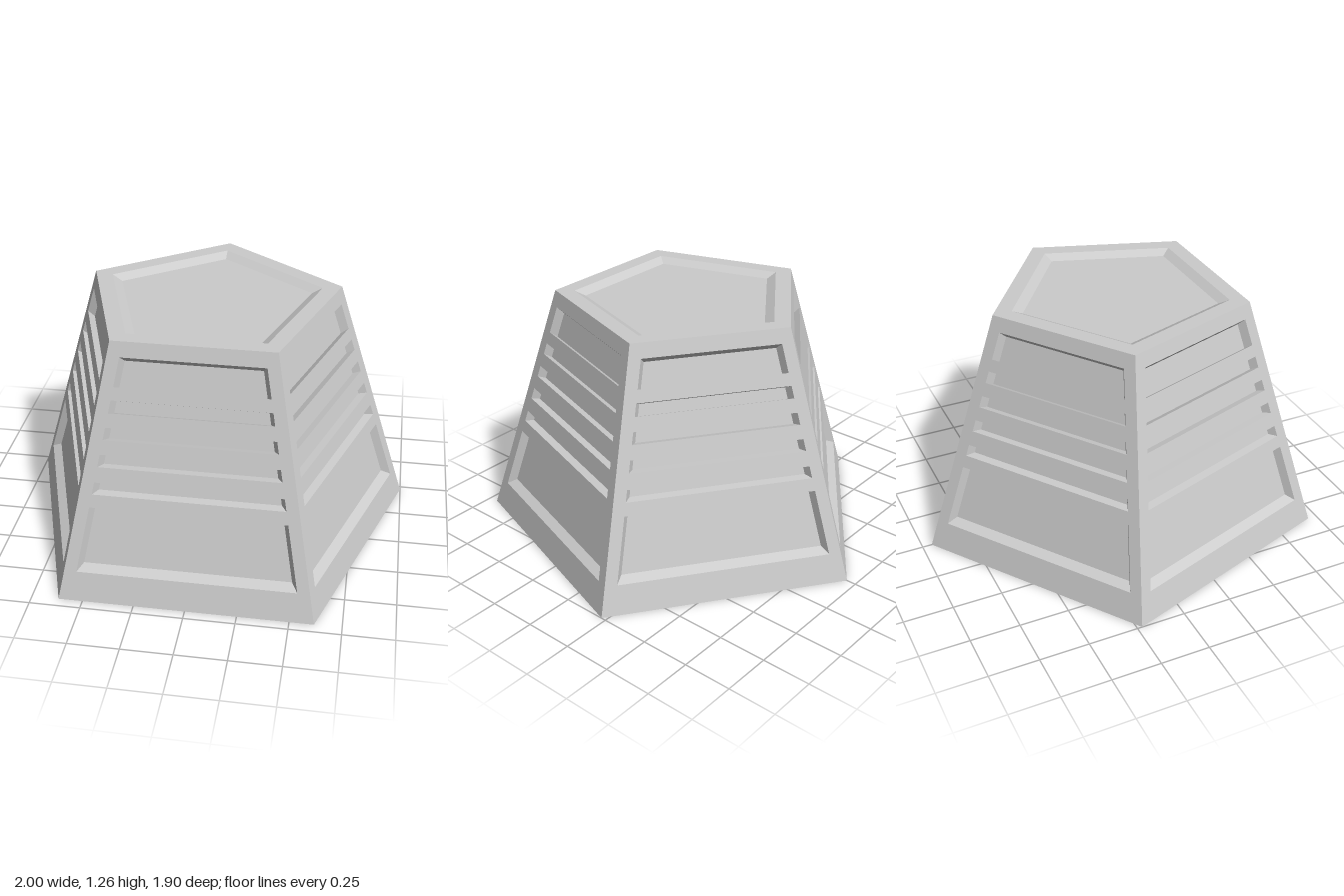
import * as THREE from 'three';

const H = 1.26, R_BASE = 1.051, R_TOP = 0.652, SIDES = 5;
const MID_Z = 0.1;       // pentagon centre, so the bounds are centred on z
const MARGIN = 0.06;     // solid post between a panel and the corner edge
const SHRINK = 0.945;    // recess floors are the openings scaled to the body centre
const CENTRE_Y = 0.62;

// Bottom and top height of each recess on a side
const recesses = [[0.147, 0.472], [0.536, 0.595], [0.67, 0.73], [0.8, 0.859], [0.928, 0.988], [1.05, 1.187]];

const material = new THREE.MeshStandardMaterial({ color: 0xcccccc, flatShading: true });
const radius = y => R_BASE + (R_TOP - R_BASE) * y / H;
const faceZ = y => radius(y) * Math.cos(Math.PI / SIDES);
const halfWidth = y => radius(y) * Math.sin(Math.PI / SIDES);

const pentagon = (r, y) => Array.from({ length: SIDES }, (_, i) => {
  const t = (2 * i + 1) * Math.PI / SIDES;
  return new THREE.Vector3(r * Math.sin(t), y, r * Math.cos(t));
});

// Corners of an opening on the front side, counterclockwise from outside
const opening = ([y0, y1]) => [[-1, y0], [1, y0], [1, y1], [-1, y1]]
  .map(([s, y]) => new THREE.Vector3(s * (halfWidth(y) - MARGIN), y, faceZ(y)));

function toGeometry(points) {
  const geometry = new THREE.BufferGeometry().setFromPoints(points);
  geometry.computeVertexNormals();
  return geometry;
}

// Walls joining two rings of corners
const band = (a, b) => toGeometry(a.flatMap((p, i) => {
  const j = (i + 1) % a.length;
  return [p, a[j], b[j], p, b[j], b[i]];
}));

// Flat polygon filling a ring
const cap = ring => toGeometry(ring.slice(2).flatMap((p, i) => [ring[0], ring[i + 1], p]));

function add(parent, name, geometry) {
  const mesh = new THREE.Mesh(geometry, material);
  mesh.name = name;
  parent.add(mesh);
}

// Sloped side sheet pierced by the openings
function sideFrame() {
  const shape = new THREE.Shape([[-1, 0], [1, 0], [1, H], [-1, H]]
    .map(([s, y]) => new THREE.Vector2(s * halfWidth(y), y)));
  shape.holes = recesses.map(r => new THREE.Path(opening(r).map(p => new THREE.Vector2(p.x, p.y)).reverse()));
  const geometry = new THREE.ShapeGeometry(shape);
  const pos = geometry.attributes.position;
  for (let i = 0; i < pos.count; i++) pos.setZ(i, faceZ(pos.getY(i)));
  geometry.computeVertexNormals();
  return geometry;
}

export function createModel() {
  const model = new THREE.Group();
  model.name = 'pentagonalBlock';
  const body = new THREE.Group();
  body.name = 'body';
  body.position.z = MID_Z;
  model.add(body);

  // Five identical sides
  const frame = sideFrame();
  const centre = new THREE.Vector3(0, CENTRE_Y, 0);
  const panels = recesses.map(r => {
    const rim = opening(r);
    const floor = rim.map(p => p.clone().sub(centre).multiplyScalar(SHRINK).add(centre));
    return { walls: band(rim, floor), floor: cap(floor) };
  });
  for (let i = 0; i < SIDES; i++) {
    const side = new THREE.Group();
    side.name = 'side';
    side.rotation.y = i * 2 * Math.PI / SIDES;
    add(side, 'sideFrame', frame);
    panels.forEach(p => {
      add(side, 'recessWalls', p.walls);
      add(side, 'recessFloor', p.floor);
    });
    body.add(side);
  }

  // Top rim with its shallow recess
  const rim = pentagon(0.555, H), floor = pentagon(0.5, H - 0.025);
  add(body, 'topRim', band(pentagon(R_TOP, H), rim));
  add(body, 'topRecessWalls', band(rim, floor));
  add(body, 'topRecessFloor', cap(floor));

  // Underside
  add(body, 'base', cap(pentagon(R_BASE, 0).reverse()));
  return model;
}
